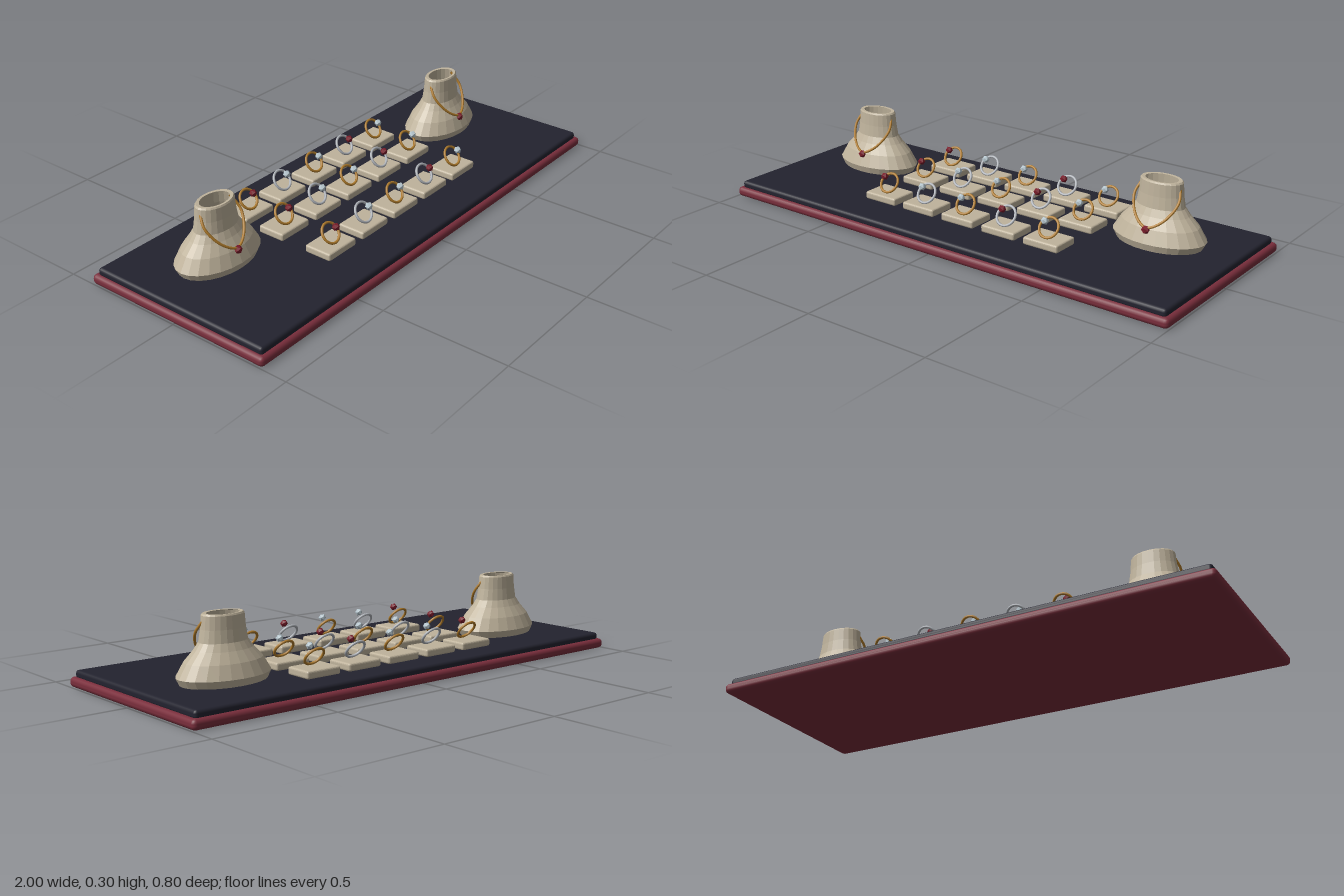
import * as THREE from 'three';
import { RoundedBoxGeometry } from 'three/addons/geometries/RoundedBoxGeometry.js';

const mat = (name, color, extra = {}) => {
  const m = new THREE.MeshStandardMaterial({ color, ...extra });
  m.name = name;
  return m;
};

export function createModel() {
  const burgundy = mat('burgundy', 0x7a2e3c);
  const velvet = mat('dark velvet', 0x23232f);
  const linen = mat('linen', 0xbfb39c, { flatShading: true, side: THREE.DoubleSide });
  const gold = mat('gold', 0xb07c2c);
  const silver = mat('silver', 0xb0b4ba);
  const ruby = mat('ruby', 0x7a1c2a, { flatShading: true });
  const diamond = mat('diamond', 0xb8c8d0, { flatShading: true });

  const model = new THREE.Group();
  model.name = 'jewelleryTray';
  const add = (parent, name, geometry, material, x = 0, y = 0, z = 0) => {
    const mesh = new THREE.Mesh(geometry, material);
    mesh.name = name;
    mesh.position.set(x, y, z);
    parent.add(mesh);
    return mesh;
  };

  // Tray with a velvet inlay
  add(model, 'trayBase', new RoundedBoxGeometry(2, 0.038, 0.8, 2, 0.016), burgundy, 0, 0.019, 0);
  add(model, 'velvetTop', new RoundedBoxGeometry(1.966, 0.032, 0.768, 2, 0.012), velvet, 0, 0.047, 0);

  // Three rows of rings, each leaning back on a small pad
  const padGeo = new RoundedBoxGeometry(0.15, 0.03, 0.114, 2, 0.008);
  const ringGeo = new THREE.TorusGeometry(0.039, 0.005, 8, 24);
  const gemGeo = new THREE.IcosahedronGeometry(0.015, 0);
  for (const z of [-0.225, -0.05, 0.17]) {
    for (let i = 0; i < 5; i++) {
      const stand = new THREE.Group();
      stand.name = 'ringStand';
      stand.position.set((i - 2) * 0.189, 0, z);
      model.add(stand);
      add(stand, 'pad', padGeo, linen, 0, 0.077, 0);
      const ring = add(stand, 'ring', ringGeo, i % 2 ? silver : gold, 0, 0.127, 0);
      ring.rotation.x = -0.645;
      add(stand, 'ringGem', gemGeo, i % 3 ? diamond : ruby, 0, 0.161, 0.025);
    }
  }

  // Hollow necklace busts: radius and height of the profile
  const profile = [[0.168, 0.062], [0.183, 0.09], [0.152, 0.14], [0.115, 0.178],
    [0.095, 0.205], [0.087, 0.25], [0.083, 0.297], [0.078, 0.303], [0.064, 0.302]]
    .map(([r, y]) => new THREE.Vector2(r, y));
  const bustGeo = new THREE.LatheGeometry(profile, 24);
  bustGeo.scale(1, 1, 0.65);

  // Chain hanging from the neck to the pendant
  const half = [[0.075, 0.287, 0], [0.09, 0.235, 0.036], [0.054, 0.172, 0.08]];
  const chainPoints = [
    ...half.map(([x, y, z]) => new THREE.Vector3(-x, y, z)),
    new THREE.Vector3(0, 0.145, 0.1),
    ...half.reverse().map(([x, y, z]) => new THREE.Vector3(x, y, z)),
  ];
  const chainGeo = new THREE.TubeGeometry(new THREE.CatmullRomCurve3(chainPoints), 36, 0.005, 8);
  const pendantGeo = new THREE.IcosahedronGeometry(0.017, 0);

  for (const side of [-1, 1]) {
    const bust = new THREE.Group();
    bust.name = side < 0 ? 'rightBust' : 'leftBust';
    bust.position.set(side * 0.675, 0, -0.1);
    model.add(bust);
    add(bust, 'bustForm', bustGeo, linen);
    add(bust, 'chain', chainGeo, gold);
    add(bust, 'pendant', pendantGeo, ruby, 0, 0.137, 0.1);
  }
  return model;
}
